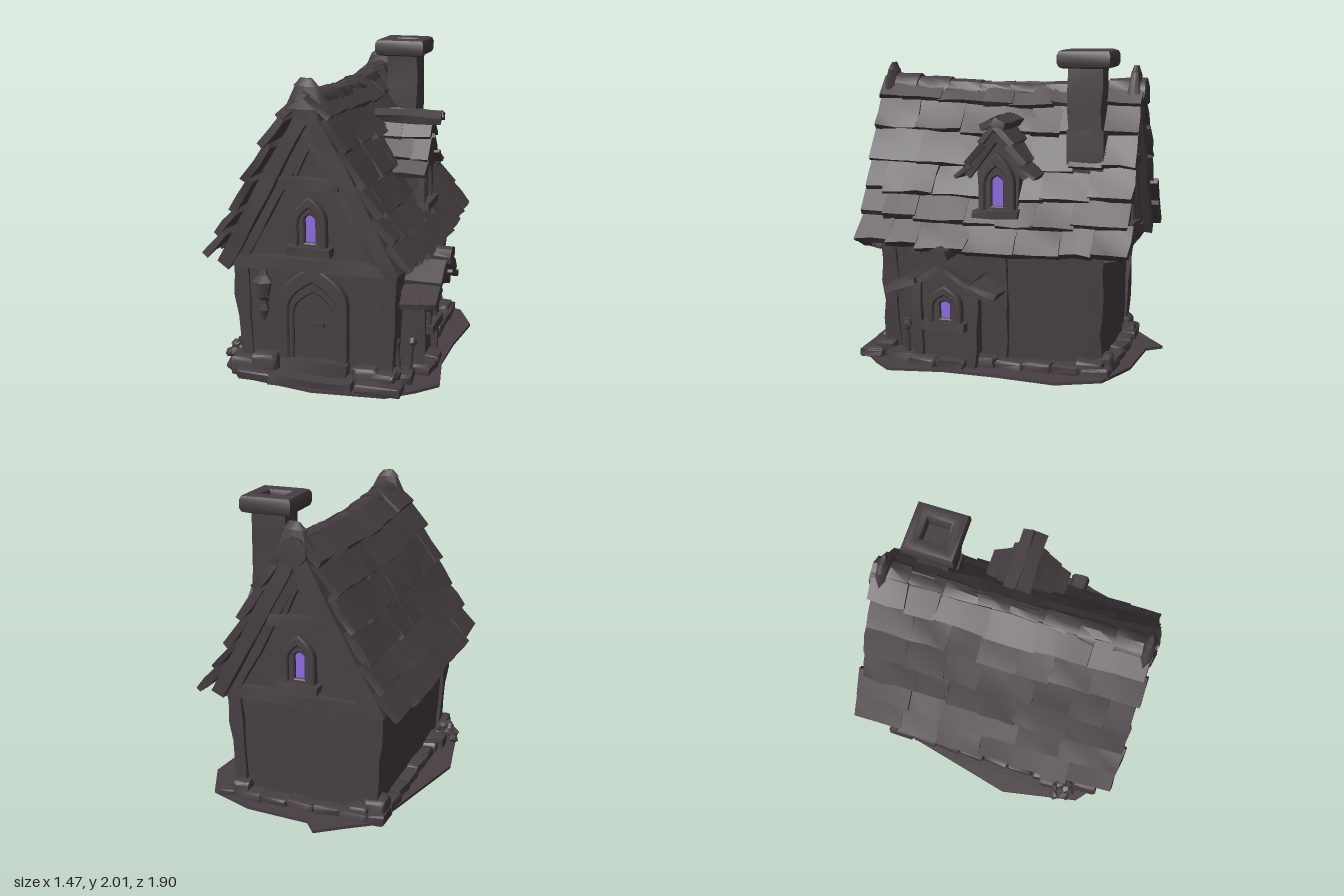
import * as THREE from 'three';
import { RoundedBoxGeometry } from 'three/addons/geometries/RoundedBoxGeometry.js';
import { toCreasedNormals } from 'three/addons/utils/BufferGeometryUtils.js';

const charcoal = new THREE.MeshStandardMaterial({ color: 0x473f43 });
charcoal.name = 'charcoal';
const violet = new THREE.MeshStandardMaterial({ color: 0x8c6ae0 });
violet.name = 'violet glass';

const CX = -0.03; // the gables sit slightly off centre
let seed = 7;
const rand = () => { seed = (seed * 16807) % 2147483647; return seed / 2147483647; };
const hash = (x, y, z, k) => {
  const v = Math.sin(x * 127.1 + y * 311.7 + z * 74.7 + k * 19.3) * 43758.5453;
  return (v - Math.floor(v)) * 2 - 1;
};

// Hand-carved wobble: matching corners move together
function wobble(geo, amount) {
  const p = geo.attributes.position, k = Math.floor(rand() * 1000);
  for (let i = 0; i < p.count; i++) {
    const v = [p.getX(i), p.getY(i), p.getZ(i)], a = v.map(c => Math.round(c * 500) / 500);
    p.setXYZ(i, ...v.map((c, j) => c + amount * hash(...a, k + j * 7)));
  }
  return toCreasedNormals(geo, 0.7);
}
function add(parent, name, geo, x = 0, y = 0, z = 0, mat = charcoal) {
  const m = new THREE.Mesh(geo, mat);
  m.name = name;
  m.position.set(x, y, z);
  parent.add(m);
  return m;
}
const block = (parent, name, w, h, d, x, y, z, j = 0.008) => {
  const n = v => Math.max(1, Math.min(6, Math.round(v / 0.14)));
  return add(parent, name, wobble(new THREE.BoxGeometry(w, h, d, n(w), n(h), n(d)), j), x, y, z);
};
const stone = (parent, w, h, d, x, y, z) => {
  const m = add(parent, 'stone', wobble(new RoundedBoxGeometry(w, h, d, 1, Math.min(w, h, d) * 0.22), 0.006), x, y, z);
  m.rotation.y = (rand() - 0.5) * 0.3;
};
// Board from (x1,y1) to (x2,y2) with a given width and depth along z
function board(parent, name, x1, y1, x2, y2, width, depth, z, j = 0.008) {
  const m = block(parent, name, Math.hypot(x2 - x1, y2 - y1), width, depth, (x1 + x2) / 2, (y1 + y2) / 2, z, j);
  m.rotation.z = Math.atan2(y2 - y1, x2 - x1);
  return m;
}
// Pointed arch outline: half-width, bottom, spring and top
function arch(path, w, y0, ys, yt) {
  path.moveTo(-w, y0);
  path.lineTo(w, y0);
  path.lineTo(w, ys);
  path.quadraticCurveTo(w, ys + (yt - ys) * 0.55, 0, yt);
  path.quadraticCurveTo(-w, ys + (yt - ys) * 0.55, -w, ys);
  path.closePath();
  return path;
}
function extrude(shape, depth, bevel = 0, bevelSegments = 1) {
  return toCreasedNormals(new THREE.ExtrudeGeometry(shape, {
    depth, curveSegments: 5, bevelEnabled: bevel > 0, bevelSize: bevel, bevelThickness: bevel, bevelSegments,
  }), 0.6);
}
function archFrame(parent, name, o, i, depth, z) {
  const s = arch(new THREE.Shape(), ...o);
  s.holes.push(arch(new THREE.Path(), ...i));
  add(parent, name, extrude(s, depth, 0.008), 0, 0, z);
}
function prism(parent, name, pts, z0, z1) {
  return add(parent, name, extrude(new THREE.Shape(pts.map(p => new THREE.Vector2(...p))), z1 - z0), 0, 0, z0);
}
// Window facing +z: glass half-width w and height h above y, frame half-width hw and peak top
function pointedWindow(parent, x, y, z, w, h, hw, top) {
  const g = new THREE.Group();
  g.name = 'window';
  g.position.set(x, 0, z);
  parent.add(g);
  const ys = y + h * 0.6, yg = y + h * 0.82, mid = (w + hw) / 2 + 0.008, t2 = (y + h + top) / 2;
  archFrame(g, 'outerFrame', [hw - 0.008, y - 0.05, ys + 0.02, top - 0.008], [mid, y - 0.03, ys + 0.01, t2], 0.05, -0.005);
  archFrame(g, 'innerFrame', [mid + 0.005, y - 0.03, ys + 0.01, t2 + 0.005], [w + 0.008, y - 0.008, yg, y + h + 0.008], 0.028, -0.005);
  add(g, 'glass', extrude(arch(new THREE.Shape(), w + 0.006, y - 0.006, yg, y + h + 0.006), 0.006), 0, 0, 0.002, violet);
  block(g, 'sill', hw * 2 + 0.06, 0.05, 0.09, 0, y - 0.045, 0.035, 0.006);
}
// Shingled slopes on both sides of x = 0, following a half profile from ridge to eave;
// sag dips the middle of the ridge and bow pulls in the ends of the eaves
function shingles(parent, profile, z0, z1, thick, minW, maxW, sag = 0, bow = 0) {
  for (const s of [-1, 1]) for (let i = 0; i < profile.length - 1; i++) {
    const [ax, ay] = profile[i], [bx, by] = profile[i + 1];
    const L = Math.hypot(bx - ax, by - ay), nx = (ay - by) / L, ny = (bx - ax) / L;
    let z = z0 + (rand() - 0.5) * 0.04;
    while (z < z1 - 0.03) {
      let w = minW + rand() * (maxW - minW);
      if (z + w > z1 - minW * 0.6) w = z1 - z + (rand() - 0.5) * 0.03;
      const e = 0.04 + rand() * 0.12, lift = thick * (0.2 + rand() * 0.3);
      const zc = z + w / 2, dy = sag * (zc * zc - 0.4), k = s * (1 - bow * zc * zc);
      board(parent, 'shingle', k * (ax - nx * thick * 0.5), ay + dy - ny * thick * 0.5,
        k * (bx + (bx - ax) * e + nx * lift), by + dy + (by - ay) * e + ny * lift, thick, w + 0.012, zc, thick * 0.2);
      z += w;
    }
  }
}

// Gable end facing +z in its own frame
function gable(parent, name, z, turn) {
  const g = new THREE.Group();
  g.name = name;
  g.position.set(CX, 0, z);
  g.rotation.y = turn;
  parent.add(g);
  block(g, 'tieBeam', 1.02, 0.08, 0.08, 0, 0.77, 0.015);
  block(g, 'collarBeam', 0.37, 0.07, 0.09, 0, 1.275, 0.03);
  for (const s of [-1, 1]) {
    board(g, 'bargeboard', 0, 1.72, s * 0.53, 0.75, 0.09, 0.07, 0.065);
    board(g, 'rafter', 0, 1.6, s * 0.44, 0.8, 0.09, 0.06, 0.015);
    board(g, 'upperFrame', 0, 1.52, s * 0.095, 1.32, 0.035, 0.04, 0.015, 0.004);
  }
  pointedWindow(g, 0, 0.907, 0, 0.032, 0.173, 0.105, 1.19);
  for (const [top, bottom, h, y] of [[0.035, 0.075, 0.045, 1.872], [0.075, 0.135, 0.13, 1.785]]) {
    const cap = add(g, 'ridgeFinial', wobble(new THREE.CylinderGeometry(top, bottom, h, 8), 0.005), 0, y, 0.065);
    cap.scale.z = 0.42;
  }
}

export function createModel() {
  const house = new THREE.Group();
  house.name = 'cottage';

  // Ground slab
  const rim = [[-0.64, 0.72], [-0.47, 0.86], [0, 0.95], [0.45, 0.91], [0.61, 0.78], [0.73, 0.65], [0.67, 0.3], [0.68, -0.05],
    [0.72, -0.43], [0.6, -0.7], [0.3, -0.82], [-0.12, -0.85], [-0.2, -0.95], [-0.36, -0.83], [-0.52, -0.72], [-0.62, -0.3], [-0.74, 0.2]];
  prism(house, 'ground', rim.map(([x, z]) => [x, -z]), 0, 0.018).rotation.x = -Math.PI / 2;

  // Walls, leaning outward, and the loft above
  prism(house, 'walls', [[-0.49, 0], [0.435, 0], [0.475, 0.78], [-0.535, 0.78]], -0.645, 0.755);
  const loft = prism(house, 'loft', [[-0.52, 0.74], [0.52, 0.74], [0.5, 0.9], [0.32, 1.23], [0, 1.7], [-0.32, 1.23], [-0.5, 0.9]], -0.705, 0.815);
  loft.position.x = CX;
  for (const s of [-1, 1]) {
    for (const [z, lean] of [[-0.62, -0.02], [0.72, 0.025]]) {
      const post = board(house, 'cornerPost', CX + s * 0.435, 0, CX + s * 0.48, 0.78, 0.09, 0.1, z, 0.01);
      post.rotation.x = lean;
    }
    board(house, 'wallPost', CX + s * 0.49, s < 0 ? 0.55 : 0.05, CX + s * 0.51, 0.78, 0.05, 0.07, -0.03);
    block(house, 'wallPlate', 0.06, 0.05, 1.36, CX + s * 0.495, 0.765, 0.05);
    for (const z of [-0.19, 0.52]) block(house, 'beamEnd', 0.1, 0.06, 0.08, CX + s * 0.54, 0.76, z);
  }

  // Main roof
  const roof = new THREE.Group();
  roof.name = 'roof';
  roof.position.x = -0.045;
  house.add(roof);
  shingles(roof, [[0.04, 1.79], [0.14, 1.66], [0.24, 1.49], [0.35, 1.285], [0.445, 1.1], [0.54, 0.945], [0.64, 0.79]],
    -0.83, 0.91, 0.045, 0.18, 0.36, 0.05, 0.05);
  for (let i = 0; i < 8; i++) {
    const z = -0.72 + i * 0.217;
    const r = add(roof, 'ridgeTile', wobble(new THREE.CylinderGeometry(0.088, 0.092, 0.235, 10, 2), 0.007), 0.012, 1.69 + 0.07 * z * z, z);
    r.rotation.x = Math.PI / 2;
  }
  gable(house, 'frontGable', 0.815, 0);
  gable(house, 'backGable', -0.705, Math.PI);

  // Chimney with an open cap
  block(house, 'chimneyShaft', 0.21, 0.8, 0.21, 0.21, 1.5, -0.515, 0.008);
  block(house, 'chimneyFoot', 0.235, 0.35, 0.235, 0.205, 1.33, -0.515, 0.008);
  const sq = (path, r) => { path.moveTo(-r, -r); path.lineTo(r, -r); path.lineTo(r, r); path.lineTo(-r, r); path.closePath(); return path; };
  const ring = sq(new THREE.Shape(), 0.133);
  ring.holes.push(sq(new THREE.Path(), 0.1));
  const cap = add(house, 'chimneyCap', extrude(ring, 0.05, 0.032, 2), 0.205, 1.918, -0.513);
  cap.rotation.x = -Math.PI / 2;

  // Dormer, its local +z pointing to world +x
  const dormer = new THREE.Group();
  dormer.name = 'dormer';
  dormer.rotation.y = Math.PI / 2;
  house.add(dormer);
  prism(dormer, 'dormerBody', [[-0.12, 0.97], [0.12, 0.97], [0.14, 1.3], [0, 1.5], [-0.14, 1.3]], 0.15, 0.45);
  shingles(dormer, [[0.02, 1.55], [0.09, 1.43], [0.17, 1.31], [0.24, 1.22]], 0.19, 0.52, 0.035, 0.15, 0.3);
  for (const s of [-1, 1]) {
    board(dormer, 'dormerRidge', s * 0.075, 1.54, s * -0.005, 1.575, 0.045, 0.44, 0.365);
    board(dormer, 'dormerBargeboard', 0, 1.48, s * 0.19, 1.22, 0.05, 0.04, 0.48, 0.005);
  }
  pointedWindow(dormer, 0, 1.037, 0.45, 0.036, 0.19, 0.115, 1.37);

  // Gabled bay on the same side
  const bay = new THREE.Group();
  bay.name = 'sideBay';
  bay.rotation.y = Math.PI / 2;
  bay.position.z = 0.31;
  house.add(bay);
  prism(bay, 'bayBody', [[-0.19, 0], [0.19, 0], [0.2, 0.52], [0, 0.67], [-0.2, 0.52]], 0.4, 0.565);
  shingles(bay, [[0, 0.75], [0.18, 0.6], [0.34, 0.505]], 0.44, 0.7, 0.04, 0.12, 0.26);
  for (const s of [-1, 1]) {
    board(bay, 'bayPost', s * 0.175, 0, s * 0.19, 0.55, 0.06, 0.06, 0.57);
    board(bay, 'bayBargeboard', 0, 0.68, s * 0.3, 0.48, 0.05, 0.04, 0.64);
  }
  const log = add(bay, 'bayRidge', wobble(new THREE.CylinderGeometry(0.06, 0.055, 0.24, 8), 0.006), 0, 0.745, 0.61);
  log.rotation.x = Math.PI / 2;
  pointedWindow(bay, 0, 0.325, 0.565, 0.032, 0.112, 0.112, 0.535);

  // Door with arched surround
  const door = new THREE.Group();
  door.name = 'door';
  door.position.set(-0.03, 0, 0.755);
  house.add(door);
  archFrame(door, 'doorSurround', [0.21, 0.05, 0.51, 0.738], [0.165, 0.06, 0.46, 0.655], 0.06, -0.01);
  archFrame(door, 'doorFrame', [0.17, 0.06, 0.46, 0.66], [0.137, 0.07, 0.43, 0.59], 0.035, -0.005);
  add(door, 'doorLeaf', extrude(arch(new THREE.Shape(), 0.14, 0.07, 0.43, 0.595), 0.016));
  block(door, 'handle', 0.1, 0.03, 0.025, 0.015, 0.375, 0.026, 0.002);
  block(door, 'threshold', 0.42, 0.09, 0.09, 0.01, 0.105, 0.04);
  block(door, 'step', 0.52, 0.06, 0.15, 0.01, 0.04, 0.1);

  // Wall lantern
  const lamp = new THREE.Group();
  lamp.name = 'lantern';
  lamp.position.set(-0.345, 0, 0.8);
  house.add(lamp);
  for (const [top, bottom, h, y] of [[0.008, 0.03, 0.05, 0.695], [0.03, 0.07, 0.04, 0.65], [0.052, 0.035, 0.1, 0.585],
    [0.045, 0.02, 0.03, 0.52], [0.015, 0.035, 0.06, 0.475], [0.035, 0.008, 0.07, 0.415]]) {
    add(lamp, 'lanternPart', toCreasedNormals(new THREE.CylinderGeometry(top, bottom, h, 6), 0.5), 0, y, 0);
  }
  block(lamp, 'bracket', 0.03, 0.03, 0.1, 0, 0.5, -0.03, 0.002);

  // Foundation stones: [w, h, d, x, y, z]
  for (const s of [[0.17, 0.17, 0.14, -0.34, 0.085, 0.78], [0.18, 0.13, 0.18, -0.48, 0.065, 0.75], [0.16, 0.14, 0.12, 0.3, 0.07, 0.78],
    [0.17, 0.12, 0.16, 0.41, 0.06, 0.76], [0.26, 0.06, 0.16, -0.37, 0.04, 0.82], [0.28, 0.06, 0.16, 0.4, 0.04, 0.84],
    [0.16, 0.1, 0.18, 0.46, 0.05, -0.6], [0.15, 0.14, 0.16, -0.49, 0.07, -0.61], [0.12, 0.13, 0.14, 0.4, 0.065, -0.66],
    [0.13, 0.1, 0.12, -0.4, 0.05, -0.67], [0.13, 0.1, 0.14, -0.55, 0.05, 0.5]]) stone(house, ...s);
  for (let i = 0; i < 8; i++) {
    const z = -0.64 + i * 0.182, h = 0.05 + rand() * 0.03;
    stone(house, 0.12, h, 0.18, i > 4 && i < 7 ? 0.59 : 0.5, h / 2, z);
    stone(house, 0.11, h, 0.18, -0.52, h / 2, z);
    if (i < 5) stone(house, 0.19, h, 0.1, -0.38 + i * 0.18, h / 2, -0.69);
  }

  // Leaning tools by the front corner
  for (const [x, z, lean] of [[0.46, 0.62, 0.08], [0.53, 0.585, -0.1]]) {
    const t = add(house, 'toolHandle', new THREE.CylinderGeometry(0.014, 0.018, 0.25, 6), x, 0.13, z);
    t.rotation.z = lean;
    add(house, 'toolHead', wobble(new THREE.SphereGeometry(0.03, 6, 4), 0.006), x - lean * 0.12, 0.25, z);
  }

  // Leafy clump at the other front corner
  for (let i = 0; i < 14; i++) {
    const a = i * 2.4, r = 0.02 + 0.006 * i;
    const leaf = add(house, 'clumpLeaf', wobble(new THREE.SphereGeometry(0.034, 6, 4), 0.008),
      -0.585 + Math.cos(a) * r * 0.9, 0.125 - i * 0.006 + (i % 3) * 0.014, 0.61 + Math.sin(a) * r);
    leaf.scale.y = 0.75;
    leaf.rotation.set(Math.sin(a), 0, -Math.cos(a));
  }
  return house;
}
